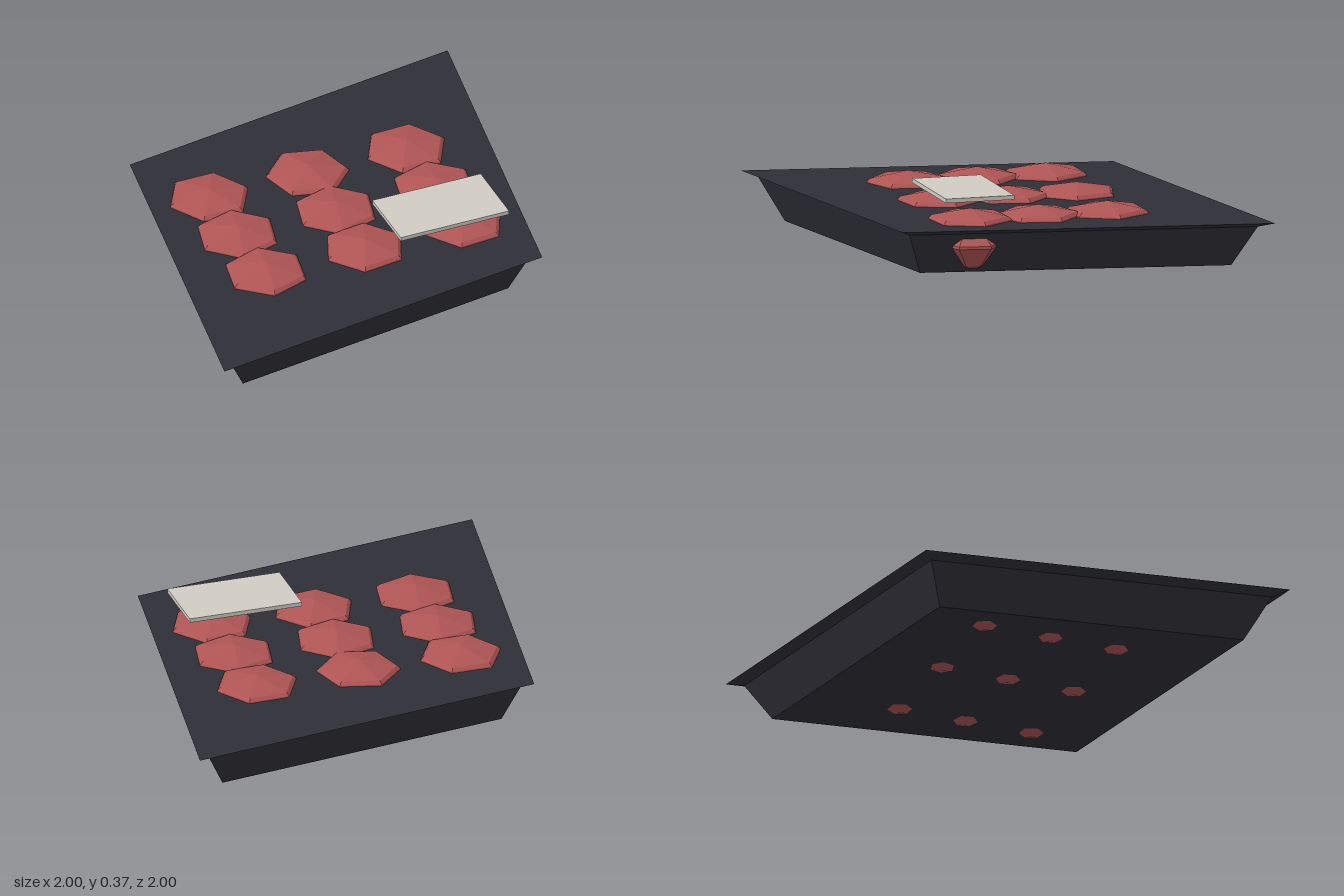
import * as THREE from 'three';

const trayMat = new THREE.MeshStandardMaterial({ color: 0x2f2f38, name: 'charcoal', flatShading: true });
const gemMat = new THREE.MeshStandardMaterial({ color: 0xb05555, name: 'dusty red', flatShading: true });
const plateMat = new THREE.MeshStandardMaterial({ color: 0xd0ccc4, name: 'pale stone' });

// Closed faceted solid from rings [y, points], ordered bottom to top; points run x towards z
function loft(rings) {
  const pos = [], idx = [], n = rings[0][1].length;
  for (const [y, pts] of rings) for (const [x, z] of pts) pos.push(x, y, z);
  for (let r = 0; r < rings.length - 1; r++) {
    for (let i = 0; i < n; i++) {
      const a = r * n + i, b = r * n + (i + 1) % n;
      idx.push(a, a + n, b, b, a + n, b + n);
    }
  }
  const top = (rings.length - 1) * n;
  for (let i = 1; i < n - 1; i++) {
    idx.push(0, i, i + 1);
    idx.push(top, top + i + 1, top + i);
  }
  const g = new THREE.BufferGeometry();
  g.setAttribute('position', new THREE.Float32BufferAttribute(pos, 3));
  g.setIndex(idx);
  const flat = g.toNonIndexed();
  flat.computeVertexNormals();
  return flat;
}

// Skewed four-cornered outline of the tray
const diamond = (s) => [[s, -s], [0.73 * s, 0.73 * s], [-s, s], [-0.73 * s, -0.73 * s]];

// Six-sided cut stone from [radius, y] steps
function gem(name, steps, x, z, degrees) {
  const ring = (r) => Array.from({ length: 6 }, (_, i) => {
    const a = THREE.MathUtils.degToRad(degrees + i * 60);
    return [r * Math.cos(a), r * Math.sin(a)];
  });
  const mesh = new THREE.Mesh(loft(steps.map(([r, y]) => [y, ring(r)])), gemMat);
  mesh.name = name;
  mesh.position.set(x, 0, z);
  return mesh;
}

export function createModel() {
  const model = new THREE.Group();
  model.name = 'gemTray';

  // Tapered tray with a flared rim
  const tray = new THREE.Mesh(loft([
    [0.022, diamond(0.835)], [0.217, diamond(0.935)], [0.24, diamond(1)],
  ]), trayMat);
  tray.name = 'tray';
  model.add(tray);

  // Three by three set stones, their points just showing underneath
  const stones = new THREE.Group();
  stones.name = 'setStones';
  const turns = [[0, 15, -2], [-16, -16, -18], [-19, -8, -5]];
  const cut = [[0.001, 0.005], [0.058, 0.022], [0.198, 0.235], [0.195, 0.246], [0.18, 0.26], [0.001, 0.295]];
  turns.forEach((row, j) => row.forEach((turn, i) => {
    stones.add(gem(`stone${j * 3 + i + 1}`, cut, (i - 1) * 0.5, (j - 1) / 3, turn));
  }));
  model.add(stones);

  // Stone breaking through the right-hand wall
  model.add(gem('wallStone',
    [[0.04, 0.04], [0.066, 0.05], [0.15, 0.145], [0.15, 0.158], [0.11, 0.196], [0.001, 0.205]],
    0.62, 0.36, -20));

  // Floating plate
  const plate = new THREE.Mesh(new THREE.BoxGeometry(0.55, 0.02, 0.333), plateMat);
  plate.name = 'plate';
  plate.position.set(0.387, 0.365, 0.333);
  model.add(plate);

  return model;
}
